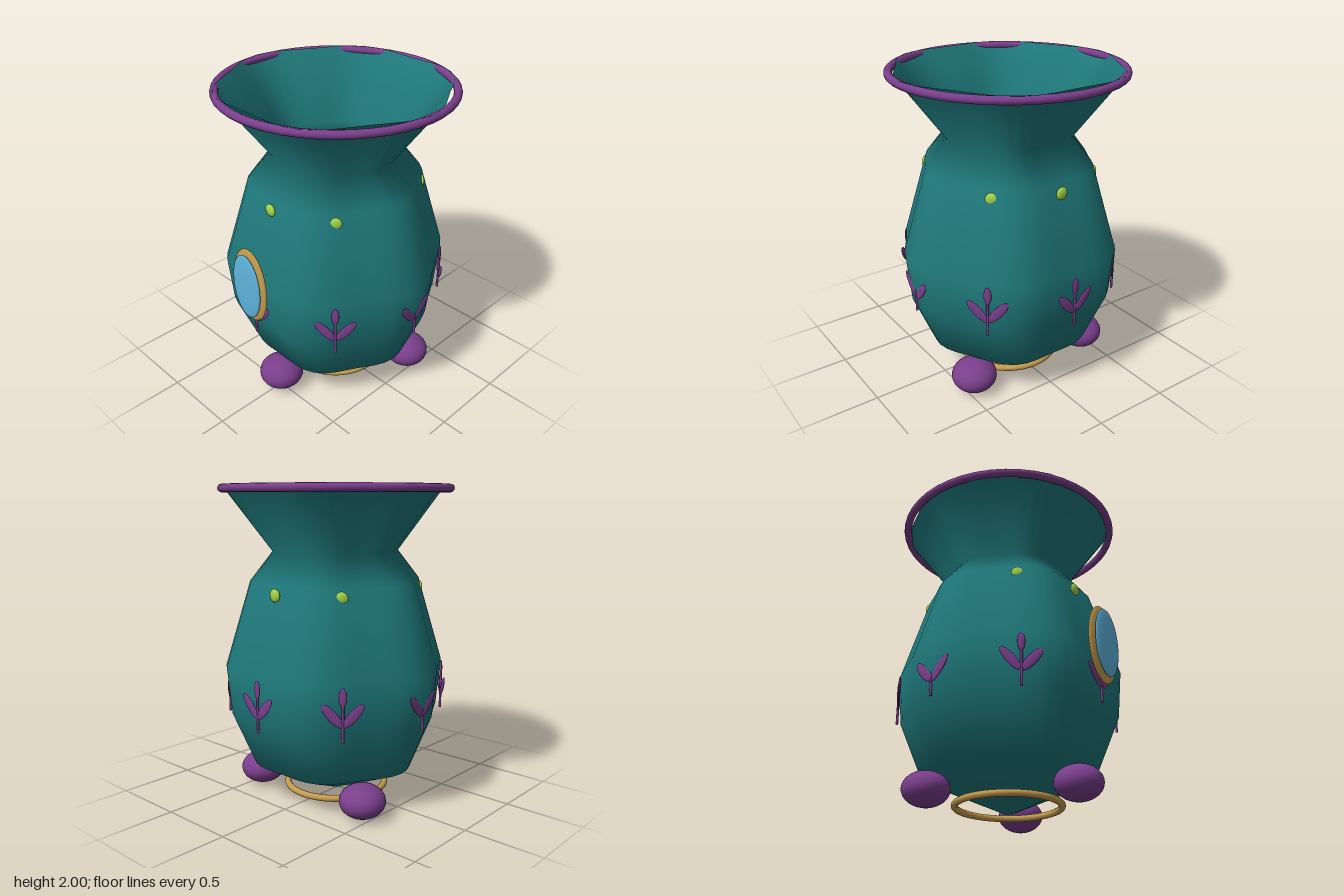
import * as THREE from 'three';
import { mergeVertices } from 'three/addons/utils/BufferGeometryUtils.js';

const material = (color, side = THREE.FrontSide) => new THREE.MeshStandardMaterial({ color, side });

export function createModel() {
  const teal = material(0x1f787a, THREE.DoubleSide);
  const purple = material(0x7a3f8c);
  const gold = material(0xc49c4e);
  const blue = material(0x5fb4dc);
  const lime = material(0xa4d64a);

  const model = new THREE.Group();
  model.name = 'vase';
  const vase = new THREE.Group();
  vase.name = 'vaseParts';
  vase.position.z = -0.018;
  model.add(vase);

  const add = (parent, name, geometry, mat, x = 0, y = 0, z = 0) => {
    const mesh = new THREE.Mesh(geometry, mat);
    mesh.name = name;
    mesh.position.set(x, y, z);
    parent.add(mesh);
    return mesh;
  };
  const ellipsoid = (rx, ry, rz, w = 20, h = 14) => new THREE.SphereGeometry(1, w, h).scale(rx, ry, rz);

  // Places a group at an angle around the axis, its +z facing outwards
  const around = (name, count, radius, y, build) => {
    for (let i = 0; i < count; i++) {
      const a = (i / count) * Math.PI * 2;
      const g = new THREE.Group();
      g.name = name;
      g.position.set(Math.sin(a) * radius, y, Math.cos(a) * radius);
      g.rotation.y = a;
      build(g);
      vase.add(g);
    }
  };

  // Body: turned profile pushed into six soft lobes
  const profile = [[0, 0], [0.52, 0.235], [0.66, 0.58], [0.6875, 0.88], [0.53, 1.41], [0.392, 1.59], [0.69, 1.998]]
    .map(([r, y]) => new THREE.Vector2(r, y));
  let body = new THREE.LatheGeometry(profile, 48);
  const p = body.attributes.position;
  for (let i = 0; i < p.count; i++) {
    const k = 1 + 0.04 * Math.cos(6 * Math.atan2(p.getZ(i), p.getX(i)));
    p.setXYZ(i, p.getX(i) * k, p.getY(i), p.getZ(i) * k);
  }
  body.deleteAttribute('uv');
  body.deleteAttribute('normal');
  body = mergeVertices(body, 1e-4);
  body.computeVertexNormals();
  add(vase, 'body', body, teal);

  // Rim and base rings
  const ring = (r, tube) => new THREE.TorusGeometry(r, tube, 12, 48).rotateX(Math.PI / 2);
  add(vase, 'rim', ring(0.706, 0.025), purple, 0, 1.973, 0);
  add(vase, 'baseRing', ring(0.322, 0.021), gold, 0, 0.056, 0);

  // Three round feet, one at the front
  const foot = ellipsoid(0.144, 0.106, 0.144, 28, 20);
  around('foot', 3, 0.51, 0.113, (g) => add(g, 'footBall', foot, purple));

  // Flat dots around the shoulder
  const dot = ellipsoid(0.039, 0.039, 0.016);
  around('shoulderDot', 8, 0.537, 1.355, (g) => add(g, 'dot', dot, lime));

  // Sprigs around the belly: stem, bud and a pair of leaves
  const stem = new THREE.CylinderGeometry(0.008, 0.008, 0.25, 8);
  const bud = ellipsoid(0.023, 0.056, 0.008);
  const leaf = ellipsoid(0.03, 0.09, 0.007);
  around('sprig', 8, 0.691, 0.55, (g) => {
    add(g, 'stem', stem, purple, 0, 0.125, 0);
    add(g, 'bud', bud, purple, 0, 0.265, 0);
    for (const s of [-1, 1]) {
      add(g, 'leaf', leaf, purple, s * 0.06, 0.158, 0).rotation.z = -s * 0.72;
    }
  });

  // Oval medallion on the front
  add(vase, 'medallionFrame', ellipsoid(0.152, 0.252, 0.022, 16, 16), gold, 0, 0.912, 0.718);
  add(vase, 'medallionGlass', ellipsoid(0.125, 0.22, 0.016, 16, 16), blue, 0, 0.915, 0.747);

  return model;
}
